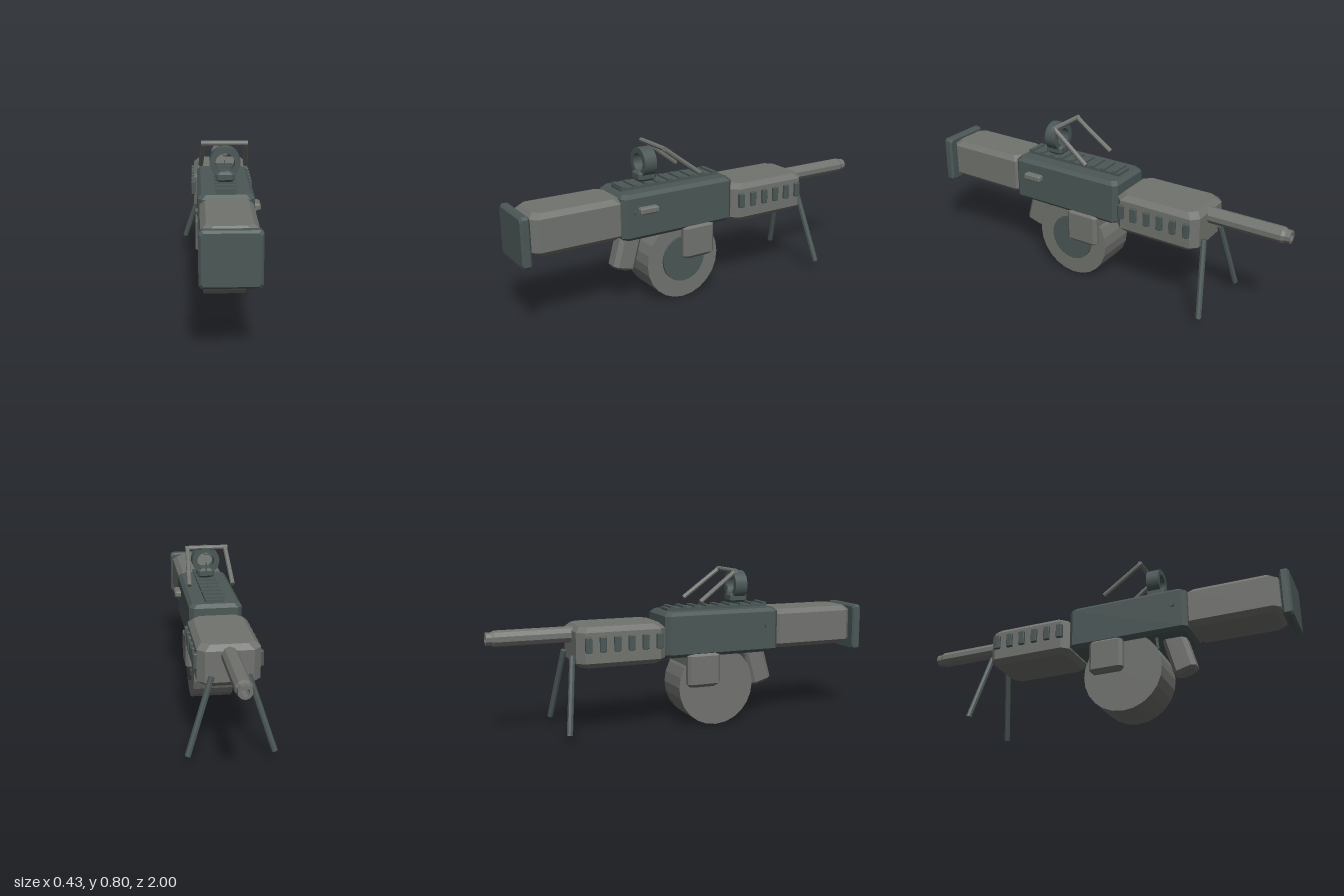
import * as THREE from 'three';
import { ConvexGeometry } from 'three/addons/geometries/ConvexGeometry.js';

const dark = new THREE.MeshStandardMaterial({ color: 0x4b5756 });
dark.name = 'dark slate';
const grey = new THREE.MeshStandardMaterial({ color: 0x71736f });
grey.name = 'warm grey';

// Faceted look: every face gets its own normal
function faceted(geometry) {
  const g = geometry.index ? geometry.toNonIndexed() : geometry;
  g.computeVertexNormals();
  return g;
}

// Box with octagonal plan (corner cut) and bevelled top and bottom rims
function cutBox(w, h, d, cut, bevel) {
  const points = [];
  for (const [y, inset] of [[h / 2, bevel], [h / 2 - bevel, 0]]) {
    const x = w / 2 - inset, z = d / 2 - inset;
    for (const sx of [-1, 1]) for (const sy of [-1, 1]) for (const sz of [-1, 1]) {
      points.push(new THREE.Vector3(sx * x, sy * y, sz * (z - cut)));
      points.push(new THREE.Vector3(sx * (x - cut), sy * y, sz * z));
    }
  }
  return new ConvexGeometry(points);
}

export function createModel() {
  const model = new THREE.Group();
  model.name = 'beltGun';

  function add(name, geometry, material, x = 0, y = 0, z = 0) {
    const mesh = new THREE.Mesh(geometry, material);
    mesh.name = name;
    mesh.position.set(x, y, z);
    model.add(mesh);
    return mesh;
  }

  // Straight rod between two points
  function rod(name, a, b, radius, material, sides = 8) {
    const from = new THREE.Vector3(...a), to = new THREE.Vector3(...b);
    const axis = to.clone().sub(from);
    const g = faceted(new THREE.CylinderGeometry(radius, radius, axis.length(), sides));
    const mesh = add(name, g, material);
    mesh.position.copy(from).add(to).multiplyScalar(0.5);
    mesh.quaternion.setFromUnitVectors(new THREE.Vector3(0, 1, 0), axis.normalize());
    return mesh;
  }

  // Main bodies along z
  add('receiver', cutBox(0.264, 0.23, 0.63, 0.022, 0.018), dark, 0, 0.481, 0.178);
  add('stock', cutBox(0.246, 0.205, 0.47, 0.03, 0.024), grey, 0, 0.482, 0.708);
  add('handguard', cutBox(0.294, 0.2, 0.455, 0.035, 0.025), grey, 0, 0.45, -0.365);
  const butt = add('buttPlate', cutBox(0.264, 0.048, 0.246, 0.012, 0.01), dark, 0, 0.464, 0.976);
  butt.rotation.x = Math.PI / 2;

  // Barrel with stepped muzzle and hollow bore
  const profile = [[0.04, 0], [0.04, 0.38], [0.032, 0.395], [0.032, 0.42], [0.019, 0.42], [0.019, 0.36], [0, 0.36]]
    .map(([r, l]) => new THREE.Vector2(r, l));
  const barrel = add('barrel', faceted(new THREE.LatheGeometry(profile, 10)), grey, 0, 0.502, -0.58);
  barrel.rotation.x = -Math.PI / 2;

  // Paired parts: cooling vents, bipod legs, handle arms
  for (const s of [-1, 1]) {
    for (let i = 0; i < 6; i++) {
      add('vent', cutBox(0.024, 0.074, 0.032, 0.003, 0.003), dark, s * 0.15, 0.467, -0.18 - i * 0.0722);
    }
    rod('bipodLeg', [s * 0.085, 0.41, -0.604], [s * 0.201, 0.048, -0.655], 0.015, dark);
    rod('handleArm', [s * 0.1, 0.79, 0.25], [s * 0.112, 0.643, 0.053], 0.012, grey);
  }
  rod('handleBar', [-0.112, 0.791, 0.252], [0.112, 0.791, 0.252], 0.012, grey);

  // Top rail
  add('railBase', new THREE.BoxGeometry(0.096, 0.022, 0.56), dark, 0, 0.599, 0.18);
  for (let i = 0; i < 9; i++) {
    add('railSlat', new THREE.BoxGeometry(0.104, 0.012, 0.022), dark, 0, 0.613, 0.445 - i * 0.0645);
  }

  // Ring sight
  add('sightStem', new THREE.BoxGeometry(0.05, 0.03, 0.015), dark, 0, 0.618, 0.311);
  add('sightBase', cutBox(0.09, 0.05, 0.096, 0.012, 0.012), dark, 0, 0.647, 0.304);
  const ringShape = new THREE.Shape().absarc(0, 0, 0.073, 0, Math.PI * 2, false);
  ringShape.holes.push(new THREE.Path().absarc(0, 0, 0.045, 0, Math.PI * 2, true));
  add('sightRing', new THREE.ExtrudeGeometry(ringShape, { depth: 0.066, bevelEnabled: false, curveSegments: 24 }),
    dark, 0, 0.713, 0.27);
  add('sightPost', new THREE.BoxGeometry(0.006, 0.05, 0.006), dark, 0, 0.683, 0.256);
  add('sightNub', cutBox(0.025, 0.022, 0.03, 0.004, 0.004), grey, 0, 0.753, 0.305);

  // Drum, its cap on one side, and the saddle that holds it
  const drum = add('drum', faceted(new THREE.CylinderGeometry(0.205, 0.205, 0.21, 24)), grey, 0, 0.205, 0.147);
  const cap = add('drumCap', faceted(new THREE.CylinderGeometry(0.12, 0.12, 0.02, 24)), dark, 0.105, 0.21, 0.147);
  drum.rotation.z = cap.rotation.z = Math.PI / 2;
  add('drumSaddle', cutBox(0.284, 0.18, 0.178, 0.015, 0.018), grey, 0, 0.298, 0.068);

  // Raked grip and trigger
  const grip = add('grip', cutBox(0.094, 0.25, 0.118, 0.02, 0.014), grey, 0, 0.305, 0.413);
  grip.rotation.x = -0.27;
  rod('trigger', [-0.077, 0.38, 0.318], [-0.077, 0.303, 0.326], 0.008, dark, 6);

  // Charging handle and cross pin
  add('chargingHandle', cutBox(0.05, 0.032, 0.1, 0.006, 0.006), grey, 0.139, 0.516, 0.362);
  rod('crossPin', [-0.141, 0.506, 0.422], [0.141, 0.506, 0.422], 0.013, dark, 10);

  return model;
}
